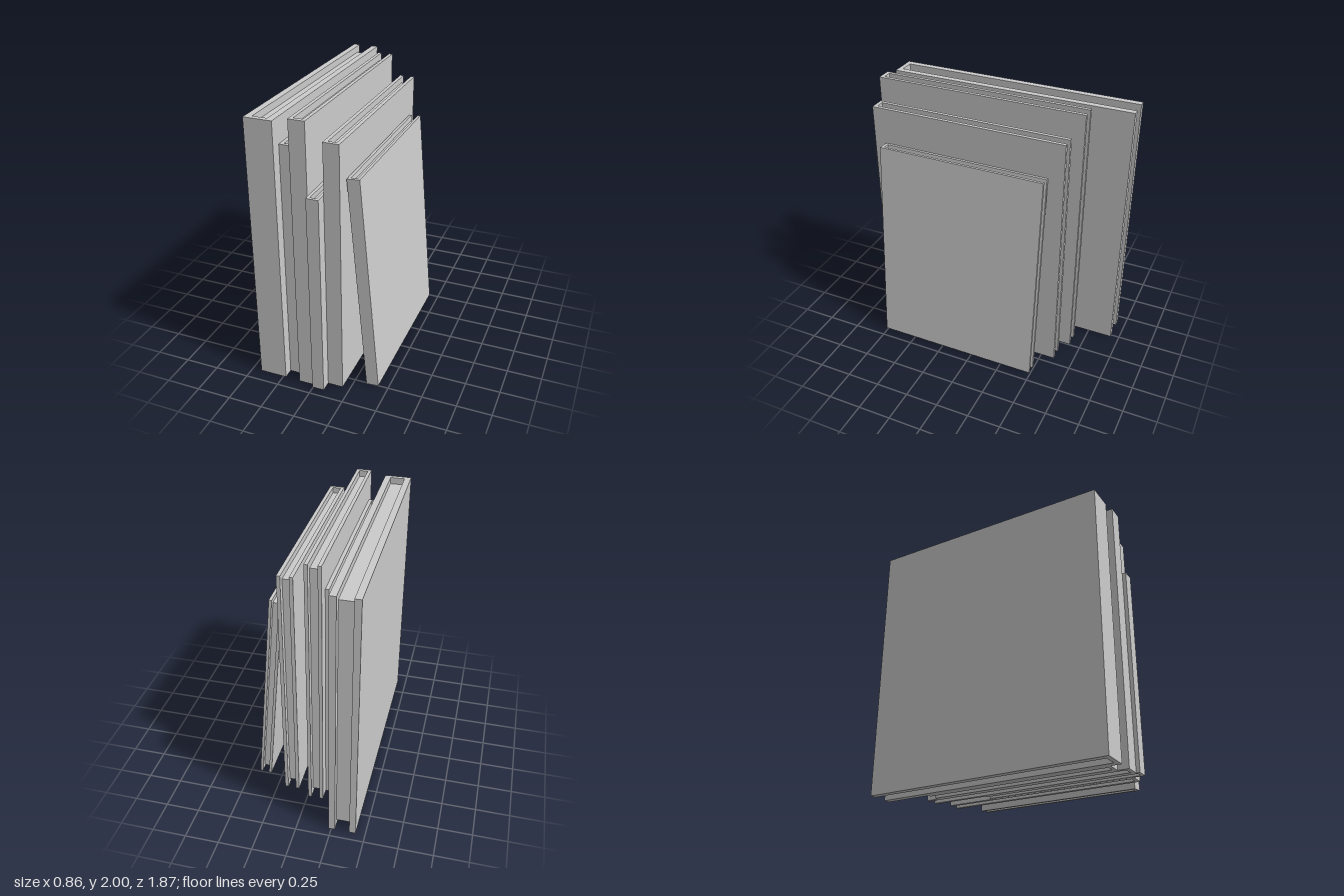
import * as THREE from 'three';

const grey = new THREE.MeshStandardMaterial({ color: 0xcccccc });
grey.name = 'plain grey';

function box(name, x0, x1, y0, y1, z0, z1) {
  const mesh = new THREE.Mesh(new THREE.BoxGeometry(x1 - x0, y1 - y0, z1 - z0), grey);
  mesh.name = name;
  mesh.position.set((x0 + x1) / 2, (y0 + y1) / 2, (z0 + z1) / 2);
  return mesh;
}

// A hardback standing on y = 0 with its spine towards +z and its left cover at x = 0
function makeBook(name, { width, height, back, front, cover, spine, inset }) {
  const book = new THREE.Group();
  book.name = name;
  book.add(
    box('rightCover', 0, cover, 0, height, back, front),
    box('leftCover', width - cover, width, 0, height, back, front),
    box('spine', cover, width - cover, 0, height, front - spine, front),
    // the page block is set back from the covers on its three open sides
    box('pages', cover, width - cover, inset, height - inset, back + inset, front - spine)
  );
  return book;
}

export function createModel() {
  const model = new THREE.Group();
  model.name = 'rowOfBooks';

  // Upright books, from -x to +x
  const upright = [
    { x: -0.43, width: 0.2, height: 1.97, back: -0.935, front: 0.905, cover: 0.047, spine: 0.035, inset: 0.05 },
    { x: -0.23, width: 0.11, height: 1.79, back: -0.575, front: 0.828, cover: 0.026, spine: 0.025, inset: 0.043 },
    { x: -0.12, width: 0.114, height: 2.0, back: -0.665, front: 0.908, cover: 0.025, spine: 0.03, inset: 0.048 },
    { x: -0.006, width: 0.088, height: 1.5, back: -0.243, front: 0.935, cover: 0.021, spine: 0.022, inset: 0.035 },
    { x: 0.083, width: 0.111, height: 1.86, back: -0.605, front: 0.856, cover: 0.026, spine: 0.027, inset: 0.044 },
  ];
  upright.forEach((spec, i) => {
    const book = makeBook(`uprightBook${i + 1}`, spec);
    book.position.x = spec.x;
    model.add(book);
  });

  // Thin book leaning towards the row
  const leaning = makeBook('leaningBook', {
    width: 0.09, height: 1.598, back: -0.493, front: 0.76, cover: 0.021, spine: 0.023, inset: 0.036,
  });
  leaning.position.x = 0.34;
  leaning.rotation.z = 0.088;
  model.add(leaning);

  return model;
}
